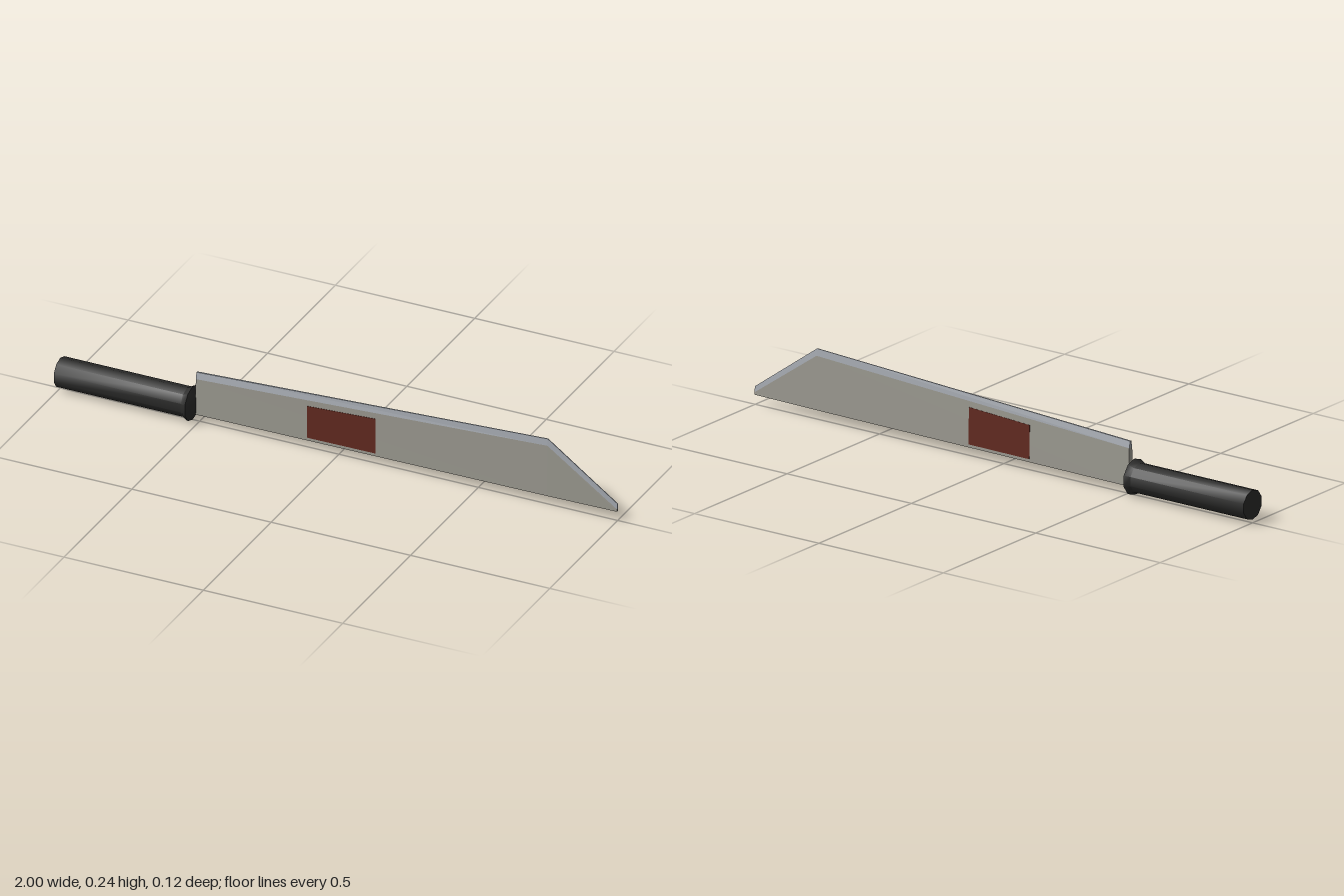
import * as THREE from 'three';
import { toCreasedNormals } from 'three/addons/utils/BufferGeometryUtils.js';

const paint = (color) => new THREE.MeshStandardMaterial({ color });

// Blade stations from root to tip: heights and half thicknesses
const stations = [
  { x: -0.51, y: [0.028, 0.157, 0.18], t: [0.0115, 0.008, 0.003] },
  { x: 0.75, y: [0.033, 0.217, 0.241], t: [0.0075, 0.0045, 0.0015] },
  { x: 1.0, y: [0.034, 0.042, 0.062], t: [0.004, 0.0035, 0.0015] },
];

// Solid through four-cornered sections { x, y: [low, high], t: [low, high] }
function loft(sections) {
  const rings = sections.map(({ x, y, t }) => [
    [x, y[0], t[0]], [x, y[0], -t[0]], [x, y[1], -t[1]], [x, y[1], t[1]],
  ]);
  const pos = [];
  const quad = (a, b, c, d) => pos.push(...a, ...b, ...c, ...a, ...c, ...d);
  for (let i = 0; i < rings.length - 1; i++) {
    for (let j = 0; j < 4; j++) {
      const k = (j + 1) % 4;
      quad(rings[i][j], rings[i][k], rings[i + 1][k], rings[i + 1][j]);
    }
  }
  quad(...[...rings[0]].reverse());
  quad(...rings[rings.length - 1]);
  const geometry = new THREE.BufferGeometry();
  geometry.setAttribute('position', new THREE.Float32BufferAttribute(pos, 3));
  geometry.computeVertexNormals();
  return geometry;
}

// Section of the blade between two of its levels
const band = (low) => stations.map(({ x, y, t }) => ({
  x, y: y.slice(low, low + 2), t: t.slice(low, low + 2),
}));

// Half thickness of the blade body at a point on its first stretch
function halfThickness(x, y) {
  const [a, b] = stations;
  const s = (x - a.x) / (b.x - a.x);
  const mix = (key, i) => THREE.MathUtils.lerp(a[key][i], b[key][i], s);
  const v = (y - mix('y', 0)) / (mix('y', 1) - mix('y', 0));
  return THREE.MathUtils.lerp(mix('t', 0), mix('t', 1), v);
}

export function createModel() {
  const model = new THREE.Group();
  const add = (name, geometry, color) => {
    const mesh = new THREE.Mesh(geometry, paint(color));
    mesh.name = name;
    model.add(mesh);
    return mesh;
  };

  // Blade body, thick along the bottom, and the bevelled cutting edge on top
  add('bladeBody', loft(band(0)), 0x9c9a91);
  add('cuttingEdge', loft(band(1)), 0xa3a8af);

  // Red patch showing on both faces of the blade
  const patch = [[-0.11, 0.04, 0.155], [0.135, 0.041, 0.167]].map(([x, low, high]) => ({
    x, y: [low, high], t: [low, high].map((y) => halfThickness(x, y) + 0.001),
  }));
  add('redPatch', loft(patch), 0x622a20);

  // Ten-sided grip with a flared collar at the blade
  const profile = [
    [0, -1], [0.051, -1], [0.051, -0.545], [0.0615, -0.525], [0.03, -0.508], [0, -0.508],
  ].map(([r, h]) => new THREE.Vector2(r, h));
  const lathe = new THREE.LatheGeometry(profile, 10, Math.PI / 2);
  const handle = add('handle', toCreasedNormals(lathe, 0.7), 0x2a2a29);
  handle.rotation.z = -Math.PI / 2;
  handle.position.y = 0.0615;

  return model;
}
